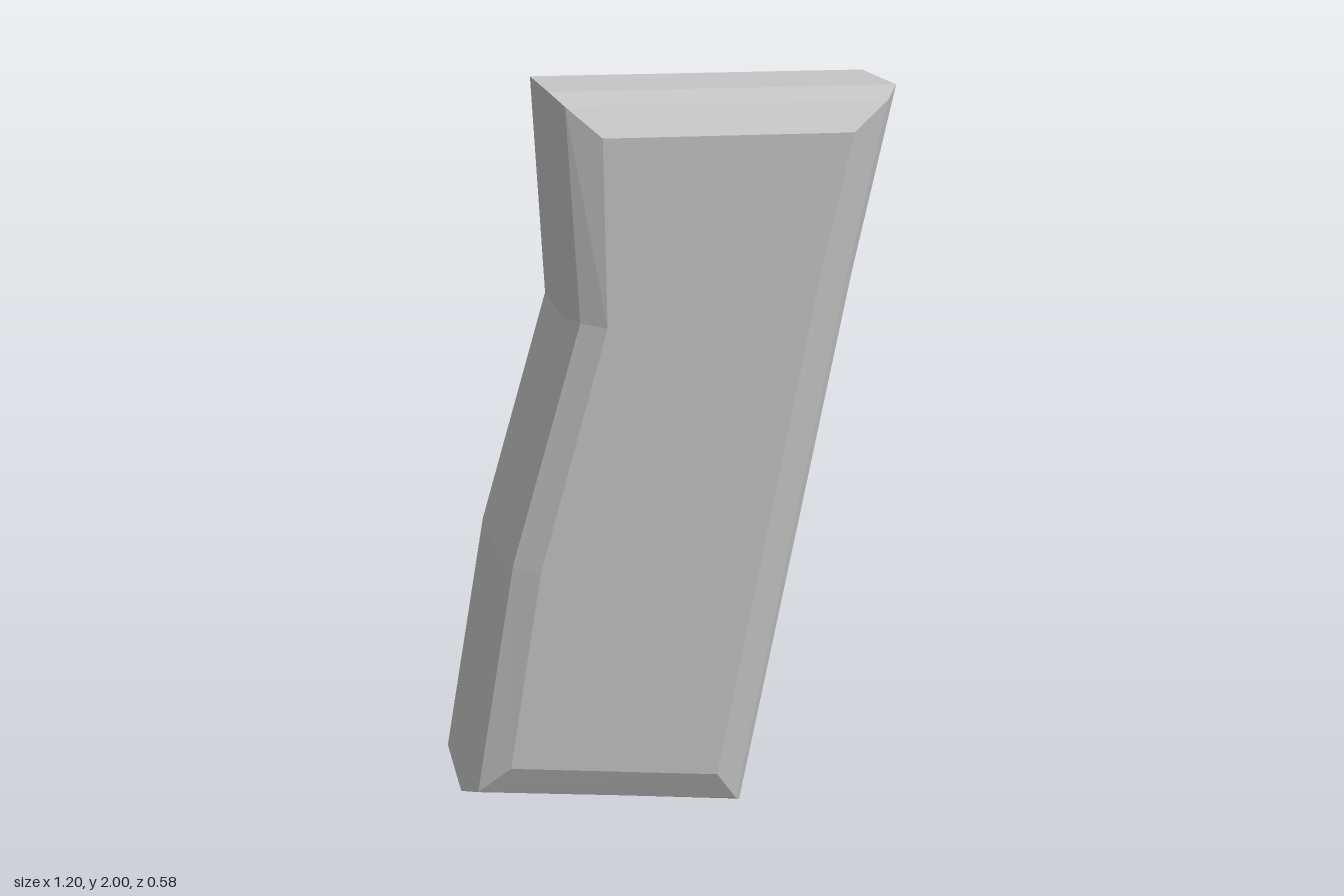
import * as THREE from 'three';

// Side outlines, counter-clockwise from the top rear corner; same corner order in each
const outer = [[-0.335, 2], [-0.3, 1.4], [-0.485, 0.755], [-0.598, 0.08], [0.186, 0], [0.486, 1.5], [0.598, 2]];
const middle = [[-0.303, 1.97], [-0.268, 1.4], [-0.455, 0.745], [-0.56, 0.105], [0.16, 0.036], [0.45, 1.5], [0.556, 1.97]];
const inner = [[-0.21, 1.89], [-0.2, 1.39], [-0.385, 0.725], [-0.472, 0.178], [0.1, 0.122], [0.369, 1.5], [0.458, 1.89]];

// Cross-sections from back to front, giving a double bevel on each side
const sections = [
  [inner, -0.29], [middle, -0.26], [outer, -0.18],
  [outer, 0.18], [middle, 0.26], [inner, 0.29],
];

function loftGeometry() {
  const n = outer.length;
  const positions = sections.flatMap(([loop, z]) => loop.flatMap(([x, y]) => [x, y, z]));
  const index = [];
  // Walls between neighbouring sections
  for (let s = 0; s < sections.length - 1; s++) {
    for (let i = 0; i < n; i++) {
      const j = (i + 1) % n;
      const a = s * n + i, b = s * n + j;
      index.push(a, b, b + n, a, b + n, a + n);
    }
  }
  // Flat side panels
  const contour = inner.map(([x, y]) => new THREE.Vector2(x, y));
  const front = (sections.length - 1) * n;
  for (const [a, b, c] of THREE.ShapeUtils.triangulateShape(contour, [])) {
    index.push(front + a, front + b, front + c, a, c, b);
  }
  const indexed = new THREE.BufferGeometry();
  indexed.setAttribute('position', new THREE.Float32BufferAttribute(positions, 3));
  indexed.setIndex(index);
  const geometry = indexed.toNonIndexed();
  geometry.computeVertexNormals();
  return geometry;
}

export function createModel() {
  const grey = new THREE.MeshStandardMaterial({ color: 0xc6c6c6, flatShading: true });
  grey.name = 'lightGrey';

  const grip = new THREE.Mesh(loftGeometry(), grey);
  grip.name = 'grip';

  const model = new THREE.Group();
  model.name = 'bevelledGrip';
  model.add(grip);
  return model;
}
